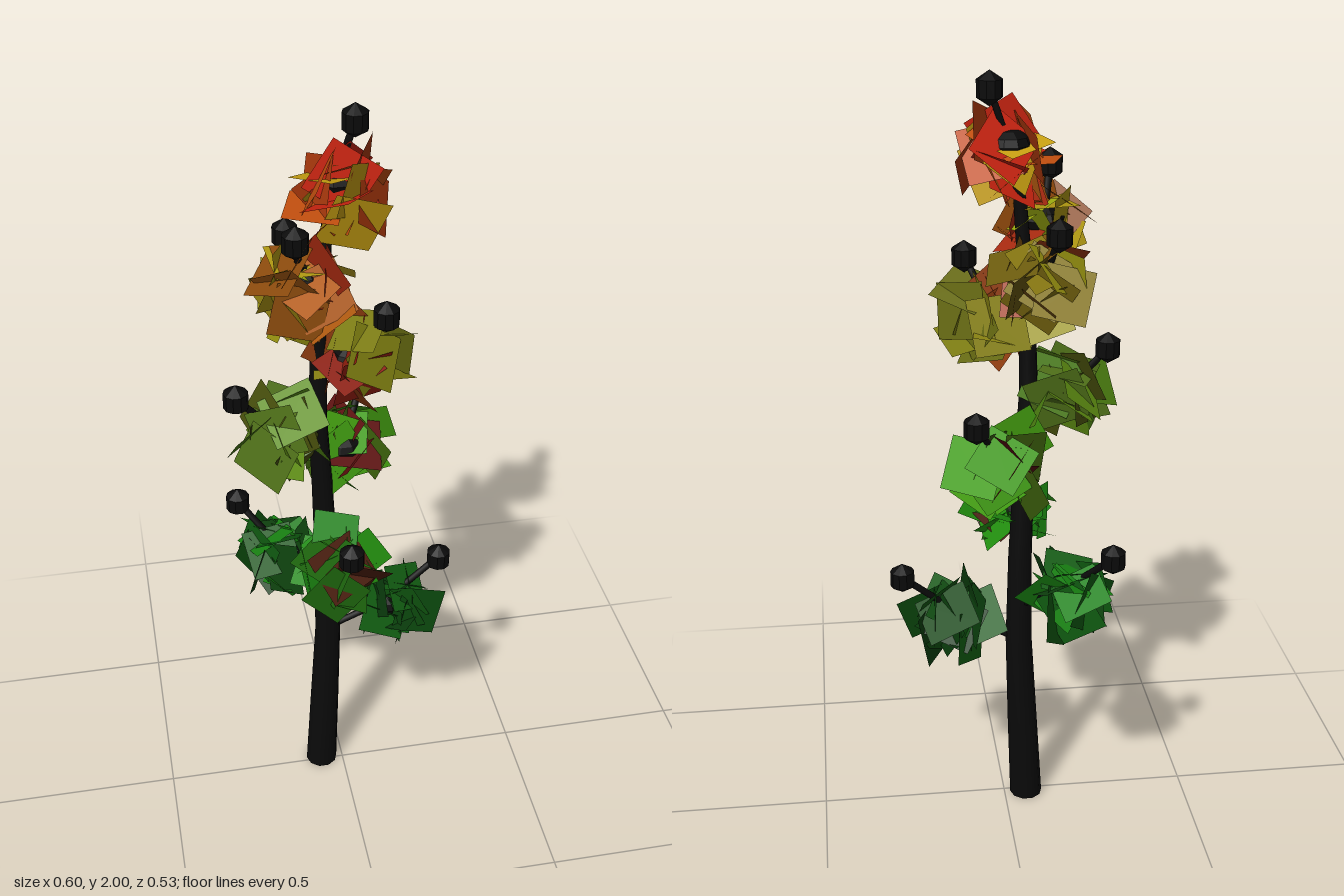
import * as THREE from 'three';

// Small seeded generator, 0..1
function seeded(seed) {
  let s = seed;
  return () => {
    s = (s * 16807) % 2147483647;
    return s / 2147483647;
  };
}

const V = (p) => new THREE.Vector3(...p);

// Each branch: foot on the trunk, knot inside the foliage, bud at the tip,
// centre of the leaf clump and its colours
const BRANCHES = [
  { foot: [-0.03, 0.5, -0.02], knot: [0.115, 0.58, -0.01], tip: [0.27, 0.70, -0.02], clump: [0.14, 0.57, -0.01], leaves: [0x0c4a0e, 0x126012, 0x0a3c0c] },
  { foot: [-0.03, 0.6, -0.02], knot: [-0.12, 0.68, -0.11], tip: [-0.25, 0.82, -0.21], clump: [-0.155, 0.69, -0.14], leaves: [0x0f5a10, 0x188212, 0x0e420e] },
  { foot: [-0.04, 0.75, -0.02], knot: [-0.035, 0.83, 0.1], tip: [-0.02, 0.945, 0.24], clump: [-0.03, 0.83, 0.12], leaves: [0x1a8210, 0x28a012, 0x1c620c, 0x1f8a10, 0x4a1c0a] },
  { foot: [-0.05, 0.97, -0.01], knot: [0.02, 1.06, -0.09], tip: [0.09, 1.185, -0.20], clump: [0.02, 1.05, -0.11], leaves: [0x3f9a10, 0x5c0e0c, 0x3c600c, 0x48a812] },
  { foot: [-0.06, 1.1, -0.01], knot: [-0.15, 1.18, 0.01], tip: [-0.265, 1.30, 0.02], clump: [-0.16, 1.19, 0.01], leaves: [0x52741a, 0x5f8e12, 0x48500c, 0x4a7c10] },
  { foot: [-0.05, 1.33, -0.01], knot: [0.02, 1.4, 0.03], tip: [0.09, 1.53, 0.085], clump: [0.035, 1.4, 0.03], leaves: [0x7a7a10, 0x8c3a0e, 0x646810, 0x8a1c0c, 0x8a8412] },
  { foot: [-0.05, 1.44, -0.01], knot: [-0.085, 1.51, -0.07], tip: [-0.11, 1.64, -0.16], clump: [-0.075, 1.51, -0.1], leaves: [0x8a7a10, 0x7a520e, 0xa09a12, 0x6a5a0c, 0xa03a0e] },
  { foot: [-0.05, 1.55, -0.01], knot: [-0.10, 1.63, 0.05], tip: [-0.125, 1.75, 0.105], clump: [-0.1, 1.62, 0.06], leaves: [0xb05a10, 0xb09812, 0xa82a10, 0x8a4a0c, 0xa0b010] },
  { foot: [-0.03, 1.75, -0.02], knot: [-0.005, 1.83, -0.04], tip: [0.04, 1.96, -0.05], clump: [0, 1.81, -0.02], leaves: [0xc4500f, 0xcc2410, 0xc8a012, 0xa8380c] },
];

// Tapered rod following a list of [x, y, z, radius] sections
function taperedRod(sections, sides, material) {
  const pos = [], index = [];
  sections.forEach(([x, y, z, r], row) => {
    for (let k = 0; k < sides; k++) {
      const t = (k / sides) * Math.PI * 2;
      pos.push(x + r * Math.cos(t), y, z + r * Math.sin(t));
      if (row === 0) continue;
      const b = row * sides, a = b - sides, n = (k + 1) % sides;
      index.push(a + k, b + k, a + n, a + n, b + k, b + n);
    }
  });
  const geo = new THREE.BufferGeometry();
  geo.setAttribute('position', new THREE.Float32BufferAttribute(pos, 3));
  geo.setIndex(index);
  geo.computeVertexNormals();
  return new THREE.Mesh(geo, material);
}

// Loose clump of square leaves, tilted at random around an outward direction
function leafClump(centre, colors, seed) {
  const rand = seeded(seed);
  const clump = new THREE.Group();
  clump.name = 'leafClump';
  clump.position.copy(centre);
  const materials = colors.map((color) => new THREE.MeshStandardMaterial({
    color, side: THREE.DoubleSide, flatShading: true,
  }));
  const count = 18;
  const front = new THREE.Vector3(0, 0, 1);
  for (let i = 0; i < count; i++) {
    const y = 1 - (2 * i + 1) / count;
    const r = Math.sqrt(1 - y * y);
    const a = i * 2.4 + seed;
    const dir = new THREE.Vector3(r * Math.cos(a), y, r * Math.sin(a));
    const size = 0.125 + 0.02 * rand();
    const leaf = new THREE.Mesh(new THREE.PlaneGeometry(size, size), materials[i % materials.length]);
    leaf.name = 'leaf';
    leaf.position.copy(dir).multiplyScalar(0.03 + 0.06 * rand());
    const jitter = new THREE.Vector3(rand() - 0.5, rand() - 0.5, rand() - 0.5).multiplyScalar(1.8);
    leaf.quaternion.setFromUnitVectors(front, dir.add(jitter).normalize());
    leaf.rotateZ(rand() * Math.PI);
    clump.add(leaf);
  }
  return clump;
}

export function createModel() {
  const tree = new THREE.Group();
  tree.name = 'tree';
  const bark = new THREE.MeshStandardMaterial({ color: 0x0a0a0a });
  const facetedBark = new THREE.MeshStandardMaterial({ color: 0x0a0a0a, flatShading: true });

  // Trunk, gently bent and tapering, closed underneath
  const trunk = taperedRod([
    [-0.06, 0, -0.012, 0.044], [-0.048, 0.25, -0.017, 0.04], [-0.037, 0.5, -0.019, 0.035],
    [-0.04, 0.75, -0.017, 0.031], [-0.05, 1.0, -0.012, 0.027], [-0.06, 1.2, -0.01, 0.024],
    [-0.055, 1.45, -0.01, 0.02], [-0.035, 1.7, -0.018, 0.016], [-0.005, 1.84, -0.035, 0.012],
  ], 10, bark);
  trunk.name = 'trunk';
  const base = new THREE.Mesh(new THREE.CircleGeometry(0.044, 10), bark);
  base.name = 'trunkBase';
  base.rotation.x = Math.PI / 2;
  base.position.set(-0.06, 0, -0.012);
  tree.add(trunk, base);

  const budGeo = new THREE.SphereGeometry(0.036, 10, 3).scale(1, 1.15, 1);
  const knotGeo = new THREE.SphereGeometry(0.055, 10, 6).scale(1, 0.65, 1);

  BRANCHES.forEach(({ foot, knot, tip, clump, leaves }, i) => {
    const branch = new THREE.Group();
    branch.name = 'branch';

    // Twig running from the trunk through the knot to the bud
    const path = new THREE.CatmullRomCurve3([V(foot), V(knot), V(tip)]);
    const twig = new THREE.Mesh(new THREE.TubeGeometry(path, 8, 0.009, 6), bark);
    twig.name = 'twig';

    const knob = new THREE.Mesh(knotGeo, facetedBark);
    knob.name = 'knot';
    knob.position.copy(V(knot));

    const bud = new THREE.Mesh(budGeo, facetedBark);
    bud.name = 'bud';
    bud.position.copy(V(tip));

    branch.add(twig, knob, bud, leafClump(V(clump), leaves, 23 + i * 41));
    tree.add(branch);
  });

  return tree;
}
